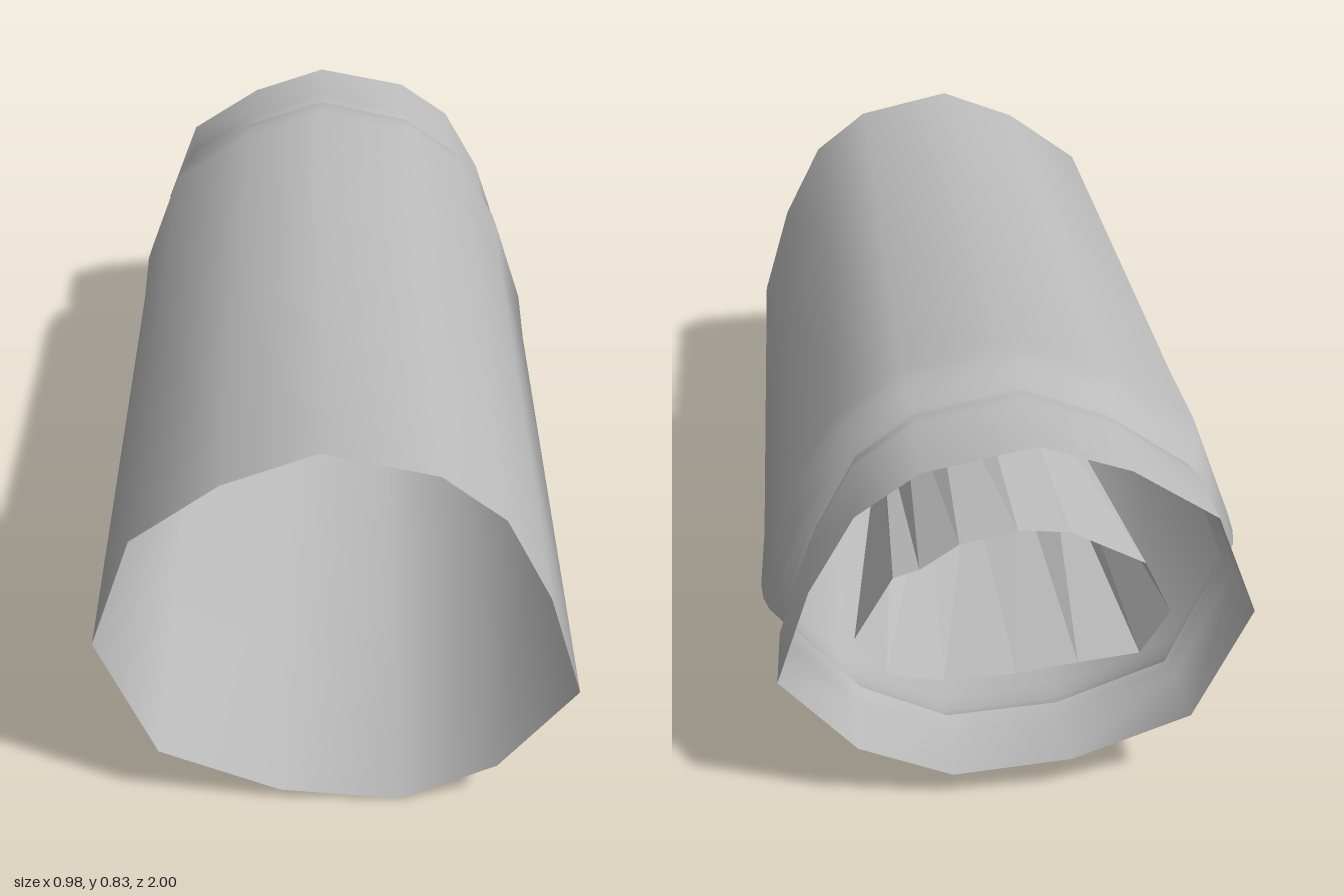
import * as THREE from 'three';

const grey = new THREE.MeshStandardMaterial({ color: 0xbbbbbb, side: THREE.DoubleSide });
grey.name = 'plainGrey';

// Skin a list of equal-length rings of [x, y, z] points, closed around, open at the ends
function loft(rings) {
  const n = rings[0].length;
  const index = [];
  for (let r = 0; r < rings.length - 1; r++) {
    for (let i = 0; i < n; i++) {
      const a = r * n + i, b = r * n + (i + 1) % n;
      index.push(a, a + n, b, b, a + n, b + n);
    }
  }
  const geometry = new THREE.BufferGeometry();
  geometry.setAttribute('position', new THREE.Float32BufferAttribute(rings.flat(2), 3));
  geometry.setIndex(index);
  geometry.computeVertexNormals();
  return geometry;
}

function addPart(group, name, geometry) {
  const mesh = new THREE.Mesh(geometry, grey);
  mesh.name = name;
  group.add(mesh);
}

export function createModel() {
  const group = new THREE.Group();
  group.name = 'sleeve';

  // Irregular cross-section of the casing, clockwise from the top
  const section = [
    [-0.035, 0.834], [0.195, 0.783], [0.325, 0.685], [0.42, 0.505], [0.49, 0.278], [0.33, 0.09],
    [0.132, 0.003], [-0.12, 0.028], [-0.37, 0.13], [-0.49, 0.4], [-0.405, 0.64], [-0.225, 0.765],
  ];
  // Lengthwise profile: z, width scale, height scale, slant of the ring
  const profile = [
    [1, 0.965, 1, 0], [0.3, 0.975, 0.985, 0], [-0.4, 0.985, 0.967, 0], [-0.62, 1, 0.955, 0.2],
    [-0.68, 0.99, 0.948, 0.6], [-0.73, 0.965, 0.925, 1], [-0.765, 0.925, 0.89, 1],
    [-0.78, 0.895, 0.87, 1], [-0.8, 0.9, 0.875, 1], [-0.83, 0.925, 0.882, 0.8], [-1, 0.937, 0.867, 0],
  ];
  const rings = profile.map(([z, sx, sy, slant]) => section.map(([x, y]) =>
    [x * sx, 0.418 + (y - 0.418) * sy, z + slant * (0.03 * x + 0.05 * (y - 0.418))]));

  // Casing with rounded shoulder and groove, and the narrower collar behind it
  addPart(group, 'casing', loft(rings.slice(0, 8)));
  addPart(group, 'collar', loft(rings.slice(7)));

  // Faceted inner tube: wide and flat at the back, narrower and taller inside
  const inside = [
    [0.025, 0.645], [0.105, 0.615], [0.17, 0.555], [0.215, 0.47], [0.22, 0.44], [0.195, 0.365], [0.115, 0.335],
    [0.02, 0.325], [-0.085, 0.345], [-0.16, 0.39], [-0.175, 0.46], [-0.14, 0.56], [-0.055, 0.64],
  ];
  const mouth = [
    [0, 0.6], [0.11, 0.575], [0.185, 0.525], [0.235, 0.51], [0.31, 0.38], [0.25, 0.295], [0.14, 0.275],
    [0, 0.282], [-0.12, 0.3], [-0.24, 0.315], [-0.297, 0.405], [-0.245, 0.515], [-0.1, 0.59],
  ];
  const at = (points, z) => points.map(([x, y]) => [x, y, z]);
  const tube = loft([at(inside, -0.25), at(mouth, -0.99)]).toNonIndexed();
  tube.computeVertexNormals();
  addPart(group, 'innerTube', tube);

  return group;
}
